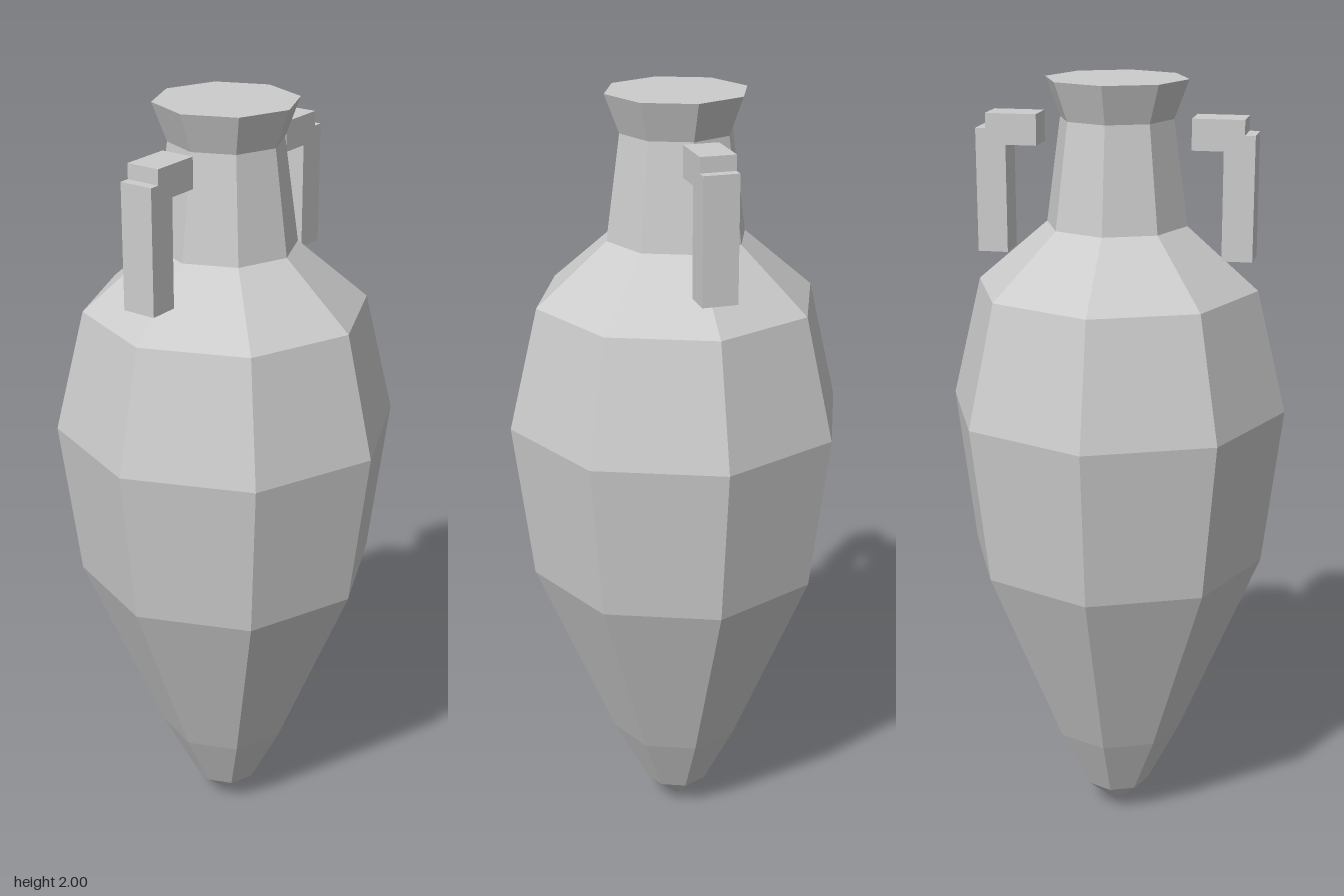
import * as THREE from 'three';

export function createModel() {
  const group = new THREE.Group();
  const clay = new THREE.MeshStandardMaterial({ color: 0xcccccc, flatShading: true });
  clay.name = 'pale grey clay';

  // Eight-sided vessel: pointed foot, belly, shoulder, neck and closed flared lip
  const profile = [
    [0, 0], [0.088, 0.08], [0.177, 0.26], [0.385, 0.77], [0.434, 1.18],
    [0.358, 1.49], [0.178, 1.645], [0.142, 1.905], [0.178, 2], [0, 2],
  ].map(([r, y]) => new THREE.Vector2(r, y));
  const vessel = new THREE.Mesh(new THREE.LatheGeometry(profile, 8), clay);
  vessel.name = 'vessel';
  group.add(vessel);

  // Box given by its x and y limits
  const bar = (name, x0, x1, y0, y1) => {
    const mesh = new THREE.Mesh(new THREE.BoxGeometry(x1 - x0, y1 - y0, 0.087), clay);
    mesh.position.set((x0 + x1) / 2, (y0 + y1) / 2, -0.001);
    mesh.name = name;
    return mesh;
  };

  // Angular handles: a short arm by the neck and a hanging grip
  for (const [side, name] of [[1, 'leftHandle'], [-1, 'rightHandle']]) {
    const handle = new THREE.Group();
    handle.name = name;
    handle.add(bar('handleArm', 0.192, 0.32, 1.837, 1.913));
    handle.add(bar('handleGrip', 0.27, 0.346, 1.57, 1.876));
    if (side < 0) handle.rotation.y = Math.PI;
    group.add(handle);
  }
  return group;
}
